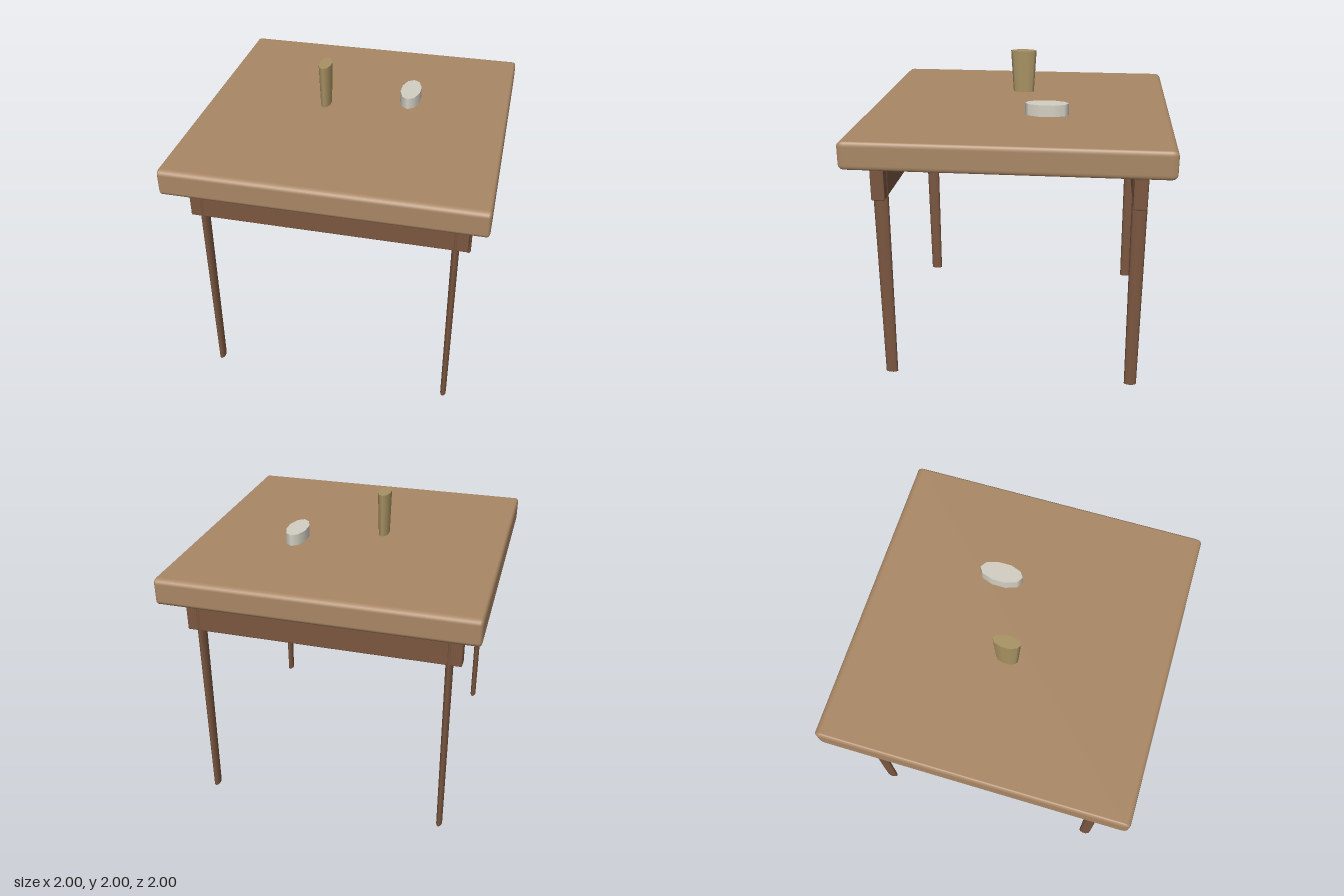
import * as THREE from 'three';
import { RoundedBoxGeometry } from 'three/addons/geometries/RoundedBoxGeometry.js';

const SQUASH = 0.48; // round parts are narrower in x than in z

const material = (color) => new THREE.MeshStandardMaterial({ color });

// Box whose rounding differs per axis: built in unsquashed space, then scaled
function roundedBox(w, h, d, radius, sx, sy) {
  return new RoundedBoxGeometry(w / sx, h / sy, d, 3, radius).scale(sx, sy, 1);
}

// Tapered oval column standing on y = 0
function oval(topRadius, bottomRadius, height) {
  return new THREE.CylinderGeometry(topRadius, bottomRadius, height, 10)
    .scale(SQUASH, 1, 1)
    .translate(0, height / 2, 0);
}

export function createModel() {
  const model = new THREE.Group();
  model.name = 'table';
  const topWood = material(0xa98765);
  const darkWood = material(0x7a5640);

  const add = (name, geometry, mat, x, y, z) => {
    const mesh = new THREE.Mesh(geometry, mat);
    mesh.name = name;
    mesh.position.set(x, y, z);
    model.add(mesh);
  };

  // Table top with softened edges
  add('tableTop', roundedBox(2, 0.177, 2, 0.04, SQUASH, 0.8), topWood, 0, 1.59, 0);

  // Front and back aprons with a tapered leg at each end
  const apron = roundedBox(1.76, 0.24, 0.086, 0.018, SQUASH, 0.5);
  const leg = oval(0.05, 0.04, 1.48);
  for (const [end, z] of [['front', 0.8], ['back', -0.8]]) {
    add(end + 'Apron', apron, darkWood, 0, 1.385, z);
    for (const [side, x] of [['Left', 0.8], ['Right', -0.8]]) {
      add(end + side + 'Leg', leg, darkWood, x, 0, z);
    }
  }

  // Objects hovering just above the top
  add('cup', oval(0.089, 0.071, 0.29), material(0xa89263), -0.2, 1.71, 0);
  add('dish', oval(0.143, 0.143, 0.075), material(0xd2cec2), 0.34, 1.695, -0.2);

  return model;
}
